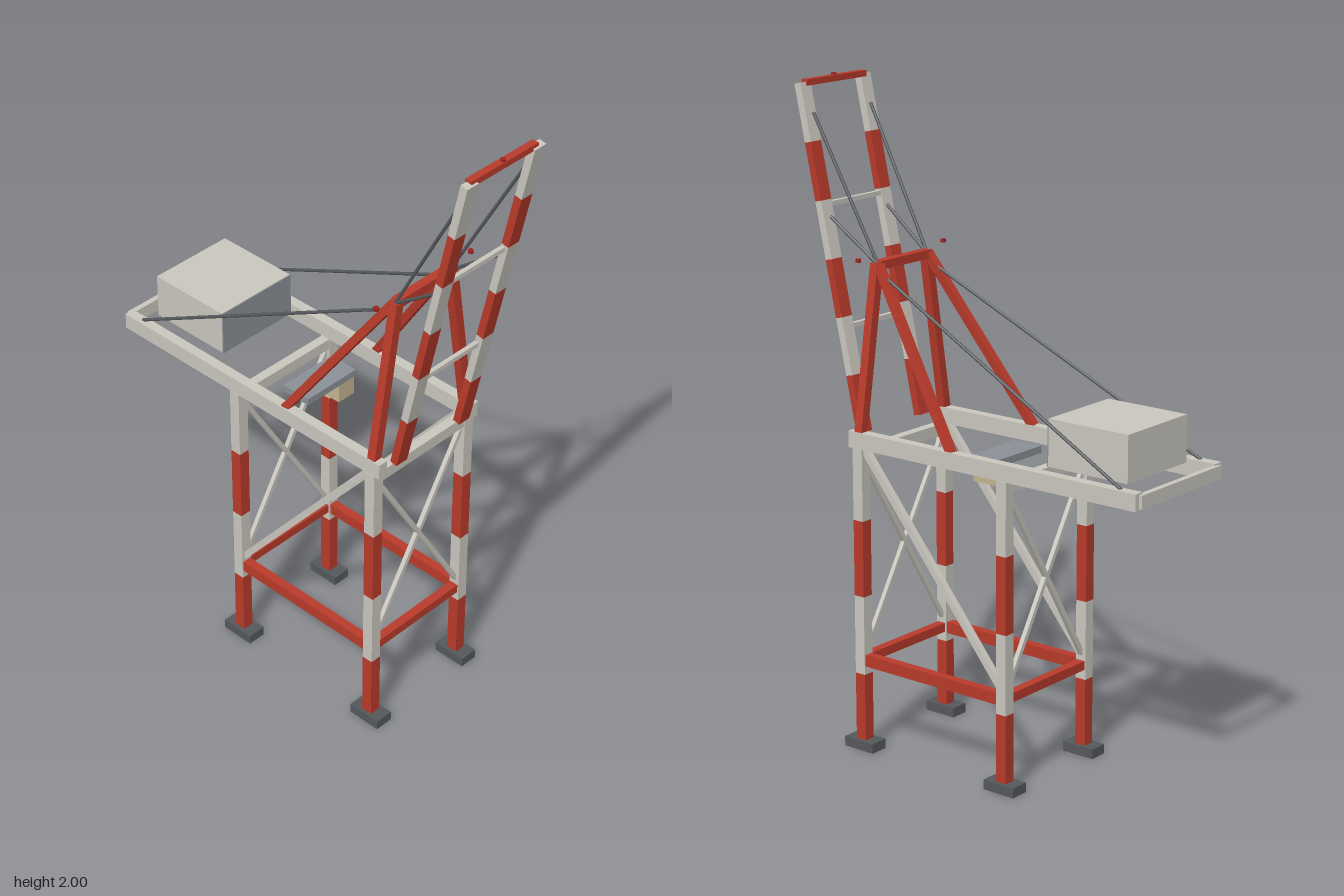
import * as THREE from 'three';

const mat = (name, color) => {
  const m = new THREE.MeshStandardMaterial({ color });
  m.name = name;
  return m;
};

export function createModel() {
  const red = mat('signal red', 0xb83a2a);
  const pale = mat('pale grey', 0xc9c6bd);
  const dark = mat('dark steel', 0x55585c);
  const steel = mat('blue grey', 0x8a9095);
  const tan = mat('tan', 0xc4b48e);
  const lamp = mat('lamp red', 0xa02020);

  const model = new THREE.Group();
  const V = (x, y, z) => new THREE.Vector3(x, y, z);

  // Axis-aligned box given by centre and size
  const box = (name, m, [x, y, z], size) => {
    const mesh = new THREE.Mesh(new THREE.BoxGeometry(...size), m);
    mesh.name = name;
    mesh.position.set(x, y, z);
    model.add(mesh);
  };

  // Rectangular bar from a to b; w runs along x where possible
  const beam = (name, m, a, b, w, d = w) => {
    const dir = b.clone().sub(a);
    const mesh = new THREE.Mesh(new THREE.BoxGeometry(w, dir.length(), d), m);
    dir.normalize();
    const side = Math.abs(dir.x) > 0.95 ? V(0, 0, 1) : V(1, 0, 0);
    side.addScaledVector(dir, -side.dot(dir)).normalize();
    mesh.quaternion.setFromRotationMatrix(
      new THREE.Matrix4().makeBasis(side, dir, side.clone().cross(dir)));
    mesh.position.copy(a).add(b).multiplyScalar(0.5);
    mesh.name = name;
    model.add(mesh);
  };

  // Round cable from a to b
  const cable = (name, a, b) => {
    const dir = b.clone().sub(a);
    const mesh = new THREE.Mesh(new THREE.CylinderGeometry(0.005, 0.005, dir.length(), 8), dark);
    mesh.quaternion.setFromUnitVectors(V(0, 1, 0), dir.normalize());
    mesh.position.copy(a).add(b).multiplyScalar(0.5);
    mesh.name = name;
    model.add(mesh);
  };

  const X = 0.19, FRONT = 0.375, BACK = -0.165;

  // Feet and banded legs
  const bands = [0.03, 0.24, 0.485, 0.72, 0.94];
  for (const x of [-X, X]) for (const z of [FRONT, BACK]) {
    box('foot', dark, [x, 0.015, z], [0.06, 0.03, 0.11]);
    for (let i = 0; i < 4; i++)
      box('legBand', i % 2 ? pale : red, [x, (bands[i] + bands[i + 1]) / 2, z],
        [0.036, bands[i + 1] - bands[i], 0.036]);
  }

  // Portal ties, top beams and crossed bracing
  for (const z of [FRONT, BACK]) {
    box('crossTie', red, [0, 0.285, z], [0.345, 0.028, 0.028]);
    box('portalBeam', pale, [0, 0.923, z], [0.345, 0.036, 0.03]);
    for (const s of [-1, 1])
      beam('crossBrace', pale, V(-0.175 * s, 0.32, z), V(0.175 * s, 0.895, z), 0.014);
  }

  for (const s of [-1, 1]) {
    const x = X * s;
    box('sideTie', red, [x, 0.284, 0.105], [0.028, 0.036, 0.505]);
    beam('sideBrace', pale, V(x, 0.94, 0.36), V(x, 0.32, -0.15), 0.02);
    box('girder', pale, [x, 0.965, -0.11], [0.032, 0.05, 1.04]);

    // Upper support frame
    beam('mastLeg', red, V(x, 0.985, FRONT), V(0.11 * s, 1.48, FRONT), 0.028);
    beam('mastBackLeg', red, V(x, 0.985, 0.03), V(0.11 * s, 1.48, 0.37), 0.024);

    // Raised boom chord in alternating bands
    const foot = V(0.131 * s, 0.97, 0.414), tip = V(0.131 * s, 1.985, 0.636);
    for (let i = 0; i < 6; i++)
      beam('boomBand', i % 2 ? pale : red, foot.clone().lerp(tip, i / 6),
        foot.clone().lerp(tip, (i + 1) / 6), 0.044, 0.024);

    // Stays
    const head = V(0.11 * s, 1.475, 0.37);
    cable('outerStay', head, V(0.125 * s, 1.9, 0.6));
    cable('innerStay', head, V(0.125 * s, 1.6, 0.54));
    cable('backStay', V(0.11 * s, 1.455, 0.365), V(x, 0.99, -0.57));
  }

  // Cross members of girders, mast and boom
  box('girderEndBeam', pale, [0, 0.965, -0.631], [0.38, 0.04, 0.018]);
  box('mastHeadBeam', red, [0, 1.475, 0.37], [0.22, 0.026, 0.028]);
  box('boomTipBeam', red, [0, 1.985, 0.63], [0.26, 0.018, 0.022]);
  box('boomRung', pale, [0, 1.28, 0.478], [0.23, 0.014, 0.014]);
  box('boomRung', pale, [0, 1.635, 0.556], [0.23, 0.014, 0.014]);

  // Machinery house with darker front panel
  box('machineryHouse', pale, [0, 1.06, -0.418], [0.28, 0.14, 0.275]);
  box('housePanel', steel, [0, 1.06, -0.279], [0.28, 0.14, 0.004]);

  // Trolley and operator cab
  box('trolley', steel, [0, 0.951, -0.02], [0.2, 0.022, 0.1]);
  box('cab', tan, [0.06, 0.91, -0.013], [0.064, 0.06, 0.085]);

  // Warning lamps
  for (const [x, y, z] of [[-X, 1.5, FRONT], [X, 1.5, FRONT], [0, 1.995, 0.632]]) {
    const mesh = new THREE.Mesh(new THREE.CylinderGeometry(0.008, 0.008, 0.01, 10), lamp);
    mesh.name = 'warningLamp';
    mesh.position.set(x, y, z);
    model.add(mesh);
  }
  return model;
}
